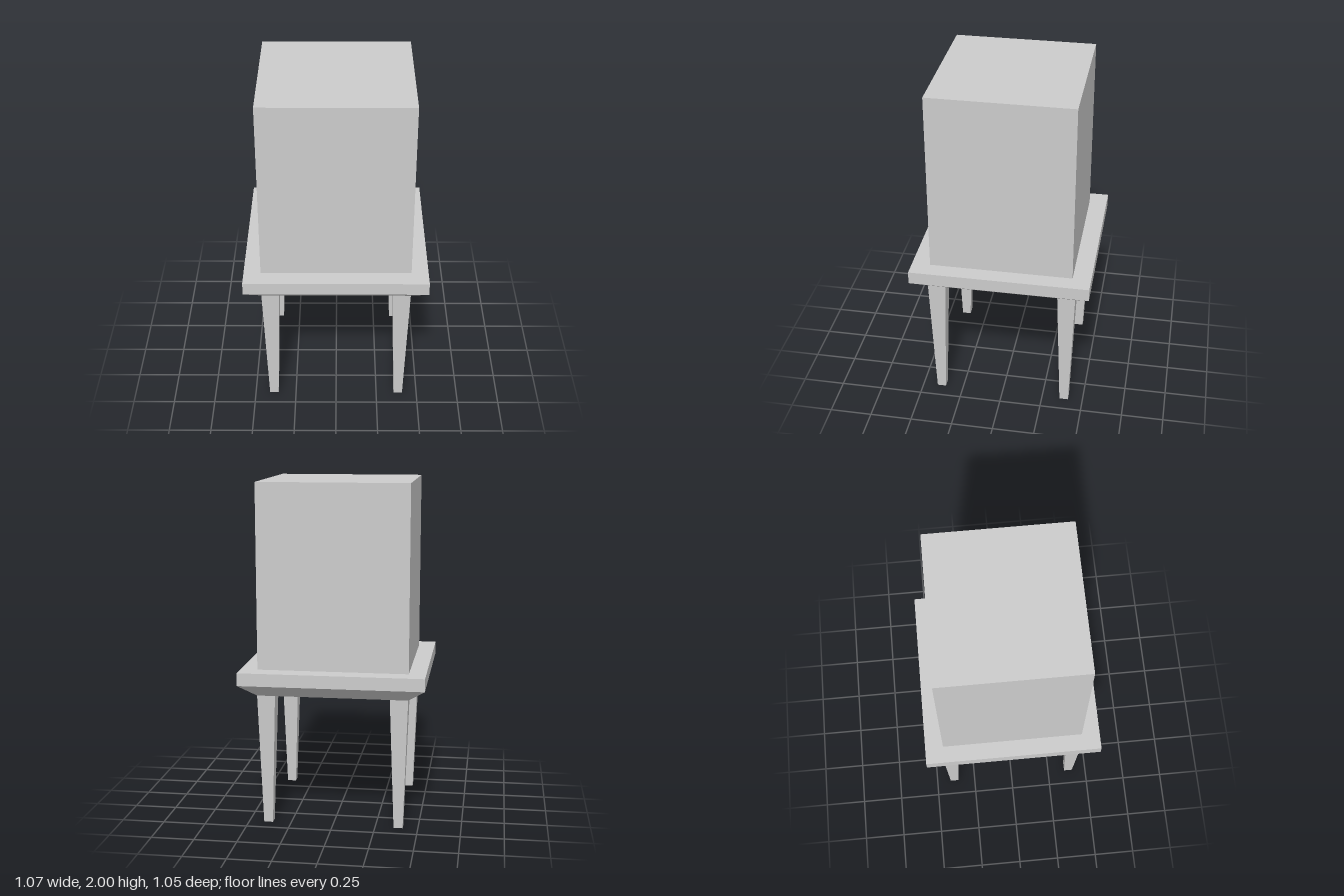
import * as THREE from 'three';

const material = new THREE.MeshStandardMaterial({ color: 0xcccccc, flatShading: true });

// Block between y0 and y1 whose bottom can differ in size from its top
function block(name, y0, y1, top, bottom = top) {
  const g = new THREE.BoxGeometry(1, y1 - y0, 1);
  const p = g.attributes.position;
  for (let i = 0; i < p.count; i++) {
    const [w, d] = p.getY(i) > 0 ? top : bottom;
    p.setX(i, p.getX(i) * w);
    p.setZ(i, p.getZ(i) * d);
  }
  g.translate(0, (y0 + y1) / 2, 0);
  g.computeVertexNormals();
  const mesh = new THREE.Mesh(g, material);
  mesh.name = name;
  return mesh;
}

export function createModel() {
  const model = new THREE.Group();
  model.name = 'cabinetOnStand';

  // Tall body on a ledge with a bevelled underside
  model.add(block('body', 0.926, 2, [0.875, 0.836]));
  model.add(block('ledge', 0.851, 0.926, [1.073, 1.051]));
  model.add(block('bevelledUnderside', 0.777, 0.851, [1.073, 1.051], [0.875, 0.875]));

  // Four tapered square legs
  for (const x of [1, -1]) {
    for (const z of [1, -1]) {
      const name = (z > 0 ? 'front' : 'back') + (x > 0 ? 'Left' : 'Right') + 'Leg';
      const leg = block(name, 0, 0.777, [0.105, 0.105], [0.053, 0.053]);
      leg.position.set(x * 0.385, 0, z * 0.385);
      model.add(leg);
    }
  }
  return model;
}
